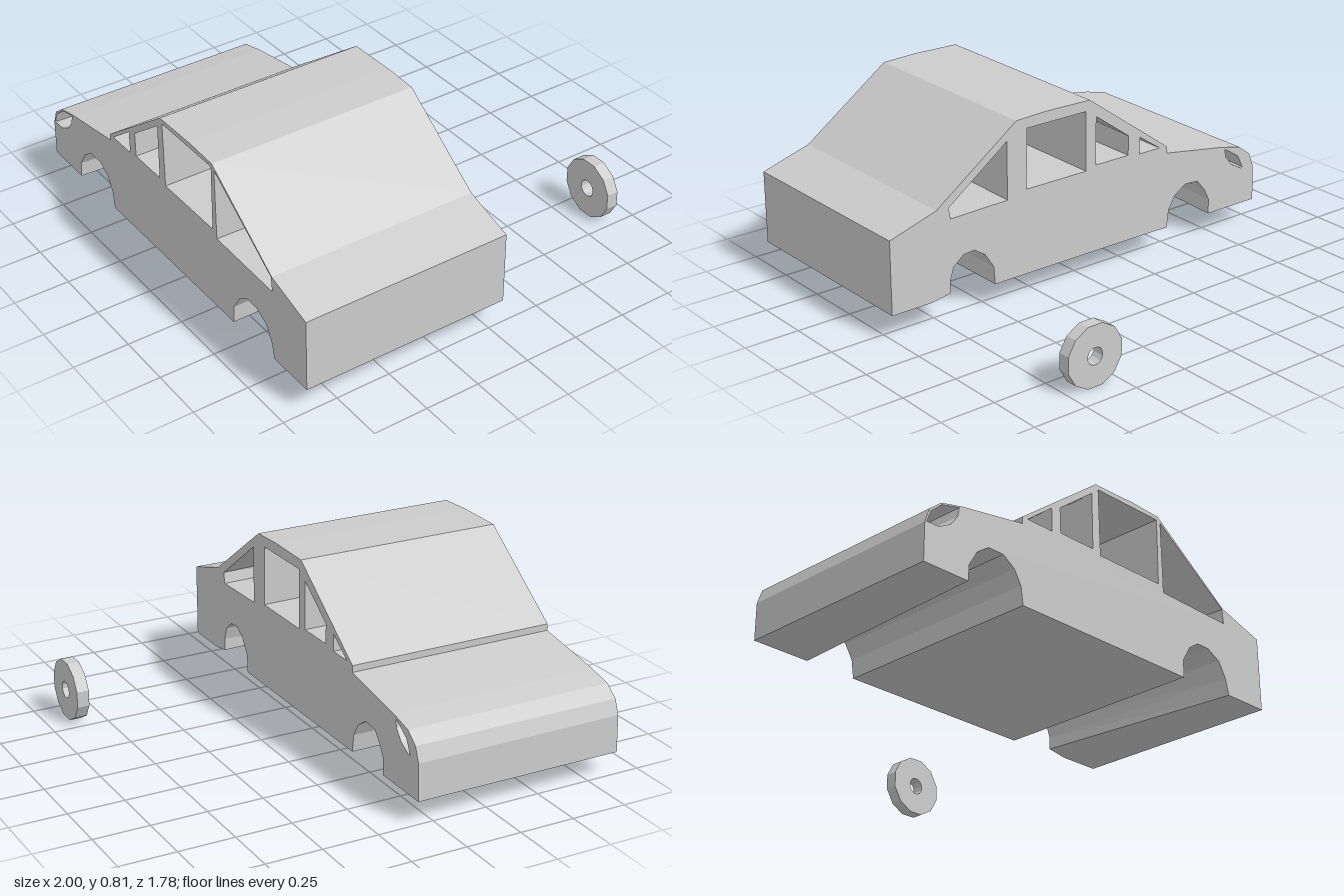
import * as THREE from 'three';

const grey = new THREE.MeshStandardMaterial({ color: 0xcccccc, flatShading: true });
const FRONT = 0.89, BACK = -0.07;

// Each loop lists corners [x, y] on the +z side, optionally [.., x2, y2] on the -z side.
// The outline runs anticlockwise, the openings clockwise.
const outline = [
  [-1, 0.1], [-0.77, 0.1, -0.725, 0.1],
  // front wheel arch
  [-0.765, 0.17, -0.725, 0.17], [-0.72, 0.24, -0.7, 0.22], [-0.66, 0.28, -0.655, 0.275],
  [-0.58, 0.28], [-0.52, 0.24], [-0.485, 0.18], [-0.475, 0.1],
  // rear wheel arch
  [0.48, 0.1], [0.485, 0.18], [0.53, 0.25], [0.585, 0.285], [0.65, 0.285, 0.64, 0.28],
  [0.72, 0.25, 0.69, 0.24], [0.76, 0.18, 0.71, 0.18], [0.775, 0.11, 0.71, 0.125],
  // boot, roof, windscreen and bonnet
  [0.8, 0.11], [1, 0.11], [1, 0.44], [0.77, 0.51], [0.36, 0.8], [0.2, 0.806], [-0.03, 0.802],
  [-0.47, 0.485], [-0.47, 0.455], [-0.8, 0.402], [-0.91, 0.376], [-0.97, 0.33], [-0.995, 0.265],
];
const openings = [
  // headlight
  [[-0.985, 0.27, -0.93, 0.275], [-0.963, 0.322, -0.9, 0.335], [-0.905, 0.37, -0.85, 0.368],
    [-0.815, 0.392, -0.817, 0.388], [-0.825, 0.35], [-0.86, 0.305], [-0.92, 0.272]],
  // quarter light
  [[-0.44, 0.485, -0.425, 0.49], [-0.3, 0.588, -0.31, 0.568], [-0.3, 0.485, -0.31, 0.49]],
  // front side window
  [[-0.25, 0.495, -0.245, 0.5], [-0.25, 0.608, -0.245, 0.59], [-0.055, 0.75, -0.065, 0.72],
    [-0.06, 0.495, -0.065, 0.5]],
  // middle side window
  [[-0.015, 0.48, -0.01, 0.485], [-0.015, 0.782, -0.01, 0.755], [0.352, 0.782, 0.305, 0.755],
    [0.345, 0.48, 0.31, 0.485]],
  // rear side window
  [[0.375, 0.45, 0.41, 0.462], [0.375, 0.775, 0.41, 0.722], [0.765, 0.505, 0.71, 0.505],
    [0.77, 0.44, 0.7, 0.455]],
];

// Joins a front and a back face, each with openings, by walls along every loop.
function loftWithOpenings(loops) {
  const front = loops.map(l => l.map(p => new THREE.Vector2(p[0], p[1])));
  const back = loops.map(l => l.map(p => new THREE.Vector2(p[2] ?? p[0], p[3] ?? p[1])));
  const f = front.flat(), b = back.flat(), n = f.length;
  const positions = [];
  f.forEach(p => positions.push(p.x, p.y, FRONT));
  b.forEach(p => positions.push(p.x, p.y, BACK));
  const index = [];
  for (const [i, j, k] of THREE.ShapeUtils.triangulateShape(front[0], front.slice(1))) index.push(i, j, k);
  for (const [i, j, k] of THREE.ShapeUtils.triangulateShape(back[0], back.slice(1))) index.push(n + i, n + k, n + j);
  let start = 0;
  for (const loop of loops) {
    for (let i = 0; i < loop.length; i++) {
      const a = start + i, c = start + (i + 1) % loop.length;
      index.push(a, n + a, c, c, n + a, n + c);
    }
    start += loop.length;
  }
  const indexed = new THREE.BufferGeometry();
  indexed.setAttribute('position', new THREE.Float32BufferAttribute(positions, 3));
  indexed.setIndex(index);
  const geometry = indexed.toNonIndexed();
  geometry.computeVertexNormals();
  return geometry;
}

// Regular polygon with a flat bottom edge
function ring(radius, sides) {
  return Array.from({ length: sides }, (_, i) => {
    const a = (i + 0.5) / sides * Math.PI * 2;
    return new THREE.Vector2(Math.cos(a) * radius, Math.sin(a) * radius);
  });
}

export function createModel() {
  const car = new THREE.Group();
  car.name = 'car';

  const body = new THREE.Mesh(loftWithOpenings([outline, ...openings]), grey);
  body.name = 'body';
  car.add(body);

  // Loose wheel with a round axle hole, standing behind the car
  const disc = new THREE.Shape(ring(0.138, 12));
  disc.holes.push(new THREE.Path(ring(0.038, 12)));
  const wheel = new THREE.Mesh(
    new THREE.ExtrudeGeometry(disc, { depth: 0.055, bevelEnabled: false }), grey);
  wheel.name = 'wheel';
  wheel.position.set(0.62, 0.1335, -0.895);
  car.add(wheel);

  return car;
}
